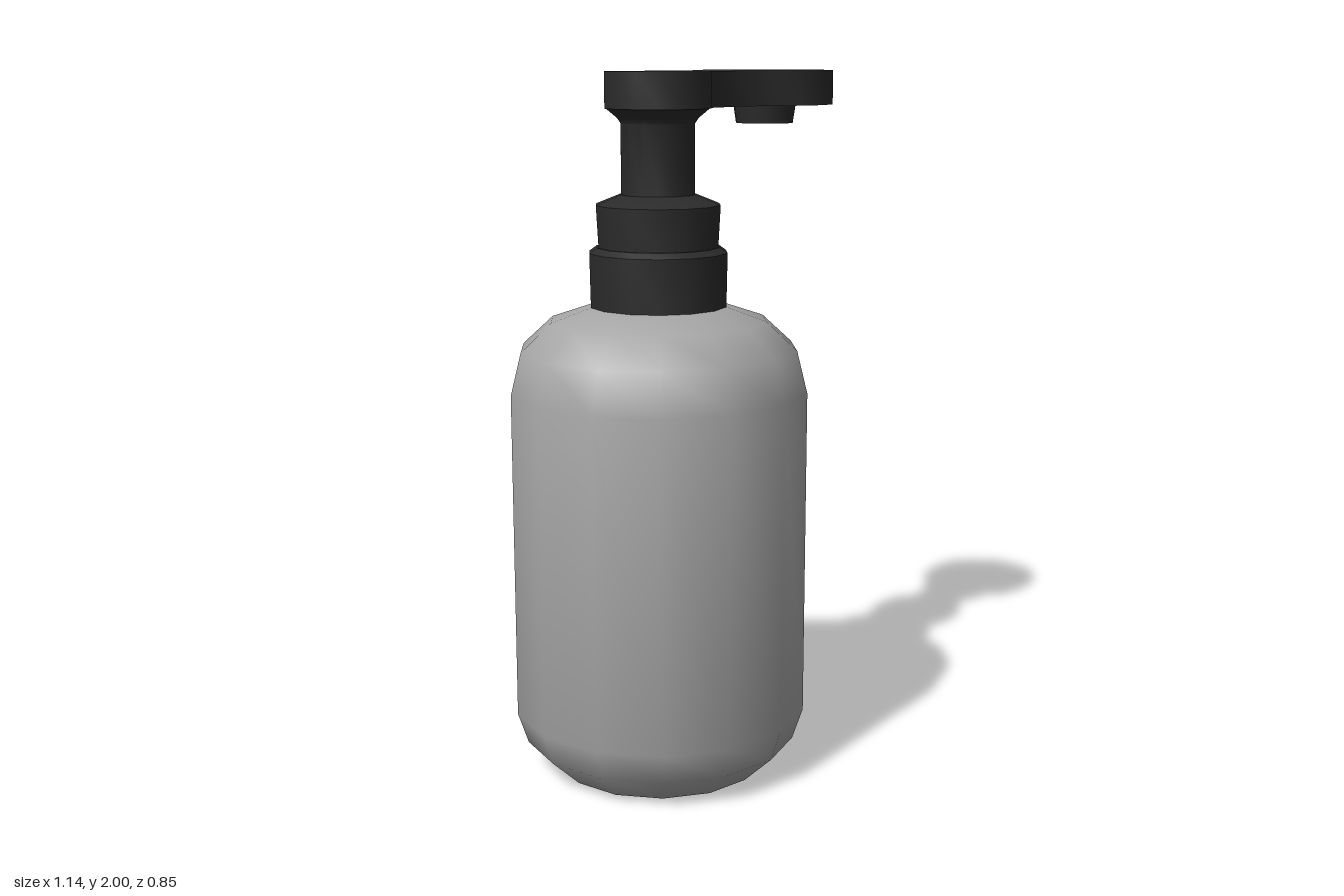
import * as THREE from 'three';
import { toCreasedNormals } from 'three/addons/utils/BufferGeometryUtils.js';

const SIDES = 14;
const AXIS_X = -0.16; // bottle axis
const TIP_X = 0.37;   // centre of the spout paddle

const bodyGrey = new THREE.MeshStandardMaterial({ name: 'bodyGrey', color: 0xa6a6a6 });
const pumpBlack = new THREE.MeshStandardMaterial({ name: 'pumpBlack', color: 0x2b2b2b });

// Solid of revolution from [radius, y] pairs, listed bottom to top
function turned(name, profile, x, material, crease) {
  const points = profile.map(([r, y]) => new THREE.Vector2(r, y));
  const geometry = toCreasedNormals(new THREE.LatheGeometry(points, SIDES), crease);
  const mesh = new THREE.Mesh(geometry, material);
  mesh.name = name;
  mesh.position.x = x;
  return mesh;
}

// Points of a 14-sided circle, from step a to step b, step 0 at the +y side
function arc(cx, r, a, b) {
  const out = [];
  for (let i = a; i <= b; i++) {
    const t = (i / SIDES) * Math.PI * 2;
    out.push(new THREE.Vector2(cx + r * Math.sin(t), r * Math.cos(t)));
  }
  return out;
}

export function createModel() {
  const group = new THREE.Group();
  group.name = 'pumpBottle';

  // Rounded bottle
  group.add(turned('bottle', [
    [0, 0], [0.305, 0], [0.395, 0.085], [0.425, 0.175],
    [0.425, 1.115], [0.395, 1.235], [0.308, 1.315], [0.19, 1.355], [0, 1.355],
  ], AXIS_X, bodyGrey, 1.1));

  // Two-step collar
  group.add(turned('lowerCollar', [
    [0, 1.35], [0.194, 1.35], [0.197, 1.505], [0.176, 1.52], [0, 1.52],
  ], AXIS_X, pumpBlack, 0.6));
  group.add(turned('upperCollar', [
    [0, 1.51], [0.17, 1.51], [0.177, 1.637], [0.108, 1.665], [0, 1.665],
  ], AXIS_X, pumpBlack, 0.6));

  // Stem flaring out under the head
  group.add(turned('stem', [
    [0, 1.65], [0.105, 1.65], [0.105, 1.86], [0.115, 1.875], [0.148, 1.902], [0, 1.902],
  ], AXIS_X, pumpBlack, 0.6));

  // Flat head: round cap, narrow neck and wide paddle
  const neck = [[-0.045, 0.098], [0, 0.093], [0.09, 0.092], [0.15, 0.109]];
  const outline = [
    ...neck.map(([x, y]) => new THREE.Vector2(x, y)),
    ...arc(TIP_X, 0.205, -2, 9),
    ...neck.map(([x, y]) => new THREE.Vector2(x, -y)).reverse(),
    ...arc(AXIS_X, 0.15, 6, 15),
  ];
  const headGeometry = new THREE.ExtrudeGeometry(new THREE.Shape(outline), {
    depth: 0.1, bevelEnabled: false,
  });
  headGeometry.rotateX(-Math.PI / 2);
  const head = new THREE.Mesh(toCreasedNormals(headGeometry, 0.6), pumpBlack);
  head.name = 'pumpHead';
  head.position.y = 1.9;
  group.add(head);

  // Outlet under the paddle
  group.add(turned('nozzle', [
    [0, 1.845], [0.086, 1.845], [0.095, 1.905], [0, 1.905],
  ], TIP_X, pumpBlack, 0.6));

  return group;
}
